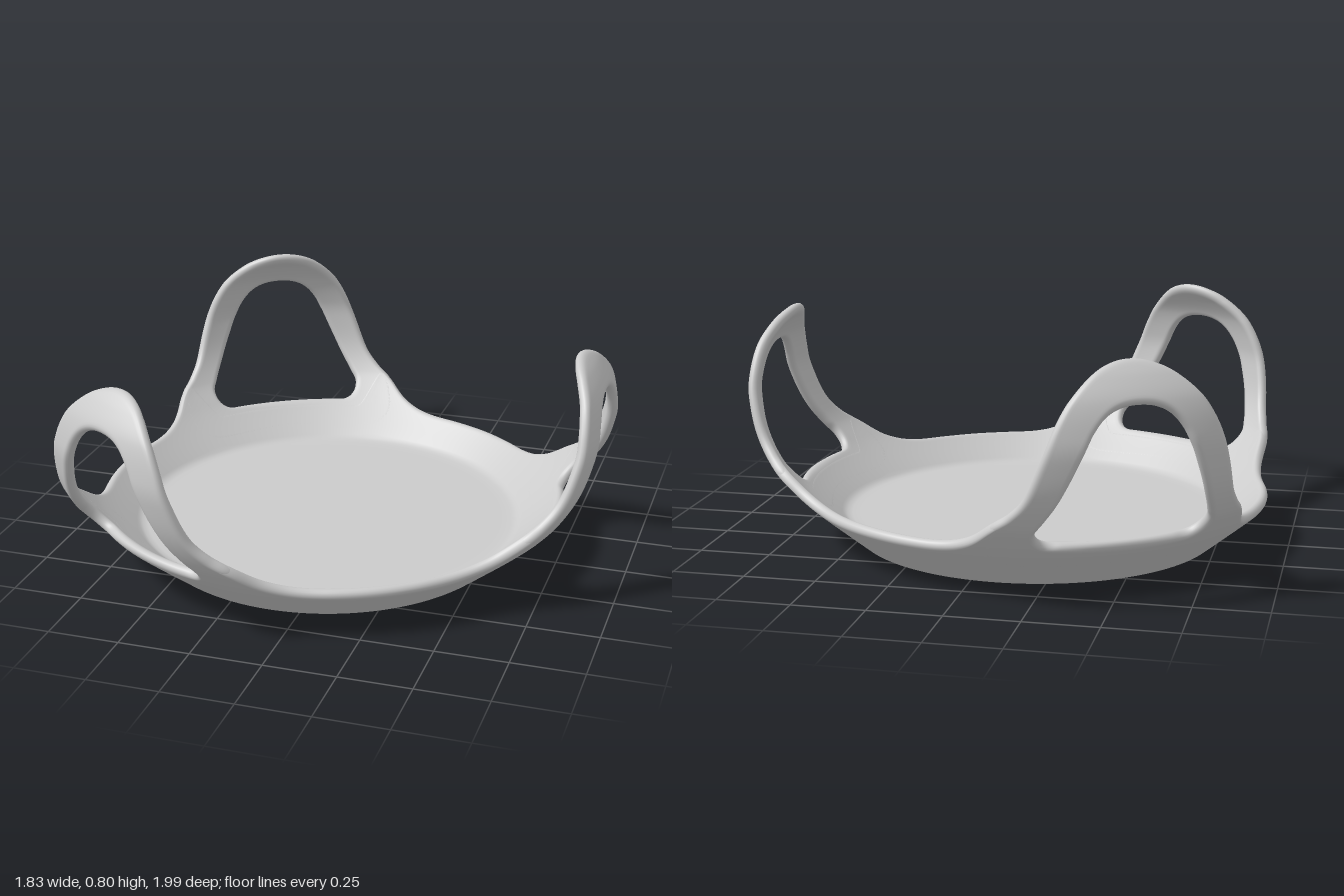
import * as THREE from 'three';

const { lerp, smoothstep, degToRad } = THREE.MathUtils;
const T = 0.038;        // wall thickness
const AXIS_X = -0.095;  // centre of the bowl

// Smooth curve through one column of a table, with x in column 0
function smooth(table, x, col = 1) {
  const n = table.length;
  let i = 0;
  while (i < n - 2 && x > table[i + 1][0]) i++;
  const slope = (k) => {
    const a = table[Math.max(k - 1, 0)], b = table[Math.min(k + 1, n - 1)];
    return (b[col] - a[col]) / (b[0] - a[0]);
  };
  const h = table[i + 1][0] - table[i][0];
  const t = (x - table[i][0]) / h, t2 = t * t, t3 = t2 * t;
  return (2 * t3 - 3 * t2 + 1) * table[i][col] + (t3 - 2 * t2 + t) * h * slope(i)
    + (3 * t2 - 2 * t3) * table[i + 1][col] + (t3 - t2) * h * slope(i + 1);
}

// Outer wall: height -> radius
const WALL = [[0, 0.64], [0.075, 0.732], [0.15, 0.822], [0.2, 0.876], [0.275, 0.942], [0.38, 0.995],
  [0.5, 1.021], [0.57, 1.022], [0.68, 0.997], [0.755, 0.952], [0.81, 0.9]];
// Rim: degrees from a handle's middle -> height
const RIM = [[18, 0.5], [20.9, 0.375], [24, 0.31], [27.9, 0.258], [31, 0.217], [34, 0.19], [38, 0.17],
  [43, 0.16], [50, 0.158], [60, 0.158], [70, 0.158]];
// Half of the ring round a handle opening: step, outer angle and height, inner angle and height.
// It follows the rim over the arch, then turns into the wall below the sill.
const RING = [
  [-4.5, -4.5, 0.797, -3.4, 0.668],
  [0, 0, 0.808, 0, 0.676],
  [4.5, 4.5, 0.797, 3.4, 0.668],
  [8.5, 8.5, 0.765, 6.2, 0.642],
  [12.8, 12.8, 0.695, 8.6, 0.59],
  [15.6, 15.6, 0.61, 10.2, 0.53],
  [18, 18, 0.5, 12.2, 0.45],
  [20.9, 20.9, 0.375, 14.8, 0.355],
  [24, 24, 0.31, 17.3, 0.285],
  [27.9, 27.9, 0.256, 18.8, 0.245],
  [30, 30, 0.19, 18.7, 0.215],
  [32, 30.5, 0.14, 17.6, 0.193],
  [34, 27, 0.1, 16, 0.183],
  [38, 20, 0.085, 13, 0.182],
  [50, 0, 0.085, 0, 0.182],
  [62, -20, 0.085, -13, 0.182],
];

// Point [radius, height] at wall height y, depth 0 (outside) to 1 (inside)
function wallPoint(y, depth) {
  const d = 0.004;
  const slope = (smooth(WALL, y + d) - smooth(WALL, y - d)) / (2 * d);
  const len = Math.hypot(1, slope);
  return [smooth(WALL, y) - depth * T / len, y + depth * T * slope / len];
}

function place(degrees, [r, y]) {
  const a = degToRad(degrees);
  return [r * Math.cos(a), y, r * Math.sin(a)];
}

// Rounded edge as [fraction, depth], turning from outside to inside at fraction 1
function roundEdge(e) {
  const pts = [];
  for (let i = 0; i <= 8; i++) {
    const a = (i / 8) * Math.PI;
    pts.push([1 - e + e * Math.sin(a), 0.5 - 0.5 * Math.cos(a)]);
  }
  return pts;
}

// Skin a closed circuit of equal-length sections
function skin(sections, closeSection) {
  const n = sections.length, m = sections[0].length, index = [];
  for (let i = 0; i < n; i++) {
    for (let j = 0; j < (closeSection ? m : m - 1); j++) {
      const i2 = (i + 1) % n, j2 = (j + 1) % m;
      const a = i * m + j, b = i * m + j2, c = i2 * m + j, d = i2 * m + j2;
      index.push(a, b, c, b, d, c);
    }
  }
  const g = new THREE.BufferGeometry();
  g.setAttribute('position', new THREE.Float32BufferAttribute(sections.flat(2), 3));
  g.setIndex(index);
  g.computeVertexNormals();
  return g;
}

// Bowl: base, outer wall, rounded rim, inner wall and floor
function bowlGeometry() {
  const sections = [], columns = 360, rows = 16;
  for (let i = 0; i < columns; i++) {
    const deg = (i / columns) * 360;
    const fromHandle = Math.abs(((deg + 60) % 120) - 60);
    // Under a handle the wall stops just inside the sill
    const top = Math.min(smooth(RIM, Math.max(fromHandle, 18)), 0.17 + 0.14 * smoothstep(fromHandle, 20, 27));
    const e = 0.012 / top;
    const pts = [[0, 0], [0.6, 0], [0.63, 0]];
    for (let j = 0; j < rows; j++) pts.push(wallPoint(lerp(0.004, top * (1 - e), j / rows), 0));
    roundEdge(e).forEach(([f, depth]) => pts.push(wallPoint(top * f, depth)));
    for (let j = 1; j <= rows; j++) pts.push(wallPoint(lerp(top * (1 - e), 0.065, j / rows), 1));
    pts.push([0.683, 0.087], [0.665, 0.084], [0.63, 0.083], [0, 0.083]);
    sections.push(pts.map((p) => place(deg, p)));
  }
  return skin(sections, false);
}

// Handle: a rounded band running all the way round the opening
function handleGeometry() {
  const sections = [], steps = 240, rows = 12;
  for (let i = 0; i < steps; i++) {
    const u = -50 + (100 * i) / steps, side = Math.sign(u);
    const [outerA, outerY, innerA, innerY] = [1, 2, 3, 4].map((col) => smooth(RING, Math.abs(u), col));
    const e = 0.5 * T / Math.hypot(degToRad(outerA - innerA), outerY - innerY);
    const edge = roundEdge(e), loop = [];
    for (let j = 1; j < rows; j++) loop.push([lerp(e, 1 - e, j / rows), 0]);
    loop.push(...edge);
    for (let j = 1; j < rows; j++) loop.push([lerp(1 - e, e, j / rows), 1]);
    edge.forEach(([f, depth]) => loop.push([1 - f, 1 - depth]));
    sections.push(loop.map(([f, depth]) => place(
      side * lerp(innerA, outerA, f), wallPoint(lerp(innerY, outerY, f), depth))));
  }
  return skin(sections, true);
}

export function createModel() {
  const model = new THREE.Group();
  model.name = 'threeHandledBowl';
  const material = new THREE.MeshStandardMaterial({ color: 0xcccccc });

  const bowl = new THREE.Mesh(bowlGeometry(), material);
  bowl.name = 'bowl';
  bowl.position.x = AXIS_X;
  model.add(bowl);

  const handleShape = handleGeometry();
  for (let k = 0; k < 3; k++) {
    const handle = new THREE.Mesh(handleShape, material);
    handle.name = `handle${k + 1}`;
    handle.position.x = AXIS_X;
    handle.rotation.y = (k * 2 * Math.PI) / 3;
    model.add(handle);
  }
  return model;
}
